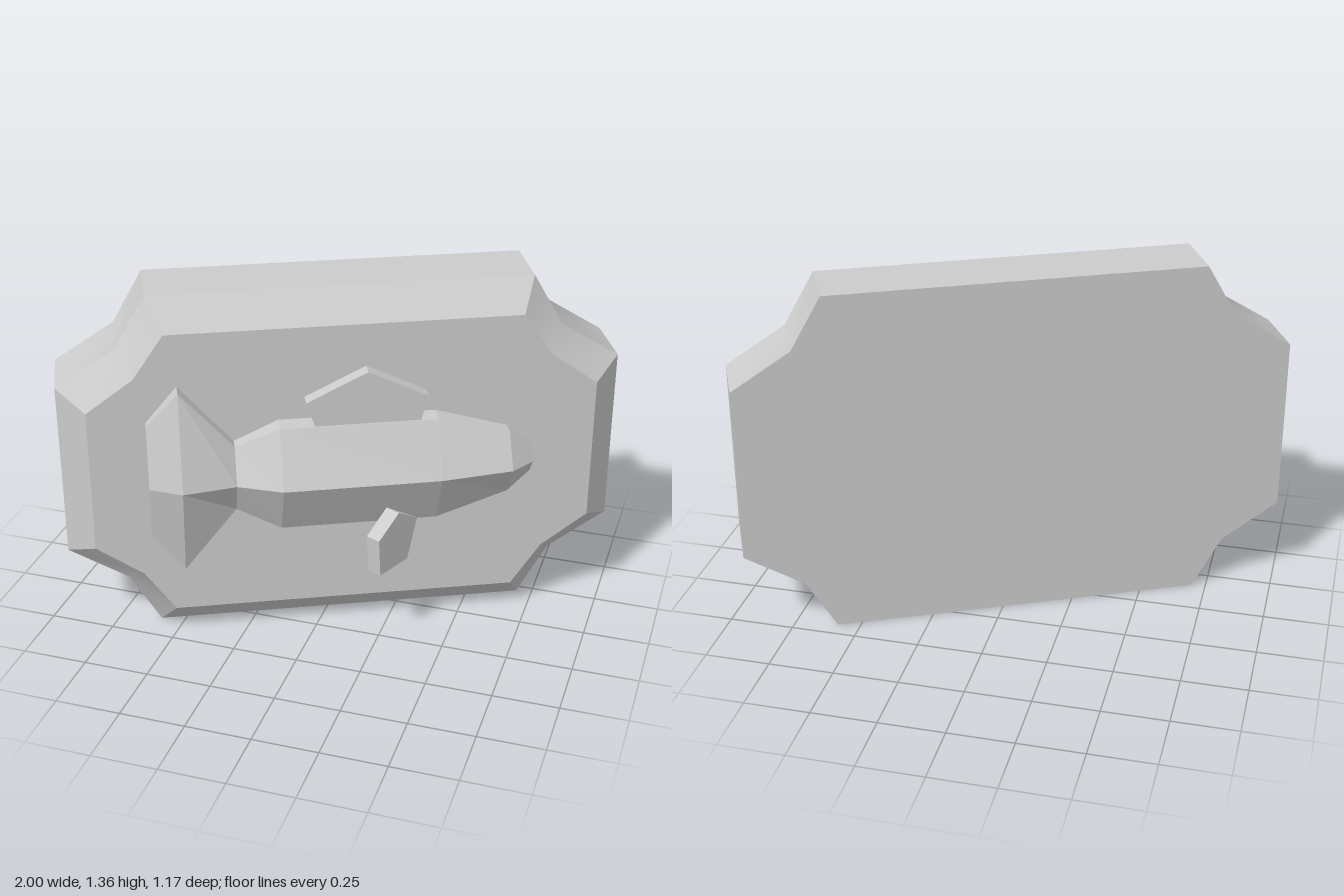
import * as THREE from 'three';
import { toCreasedNormals } from 'three/addons/utils/BufferGeometryUtils.js';

const material = new THREE.MeshStandardMaterial({ color: 0xcccccc });

// Skin a list of equal-sized rings and close both ends (non-indexed, so flat by default)
function loft(rings) {
  const pos = [];
  const tri = (...pts) => pts.forEach(p => pos.push(p.x, p.y, p.z));
  const centre = ring => ring.reduce((s, p) => s.add(p), new THREE.Vector3()).divideScalar(ring.length);
  const n = rings[0].length, last = rings[rings.length - 1];
  const c0 = centre(rings[0]), c1 = centre(last);
  for (let i = 0; i < n; i++) {
    const j = (i + 1) % n;
    for (let k = 0; k < rings.length - 1; k++) {
      const a = rings[k], b = rings[k + 1];
      tri(a[i], a[j], b[j]);
      tri(a[i], b[j], b[i]);
    }
    tri(c0, rings[0][j], rings[0][i]);
    tri(c1, last[i], last[j]);
  }
  const g = new THREE.BufferGeometry();
  g.setAttribute('position', new THREE.Float32BufferAttribute(pos, 3));
  g.computeVertexNormals();
  return g;
}

// Mirror one scooped corner into the full plaque outline, counter-clockwise
function plaqueRing(corner, z) {
  const ring = [];
  for (const [sx, sy] of [[1, 1], [-1, 1], [-1, -1], [1, -1]]) {
    const pts = sx * sy > 0 ? corner : [...corner].reverse();
    pts.forEach(([x, y]) => ring.push(new THREE.Vector3(sx * x, 0.68 + sy * y, z)));
  }
  return ring;
}

// Six-sided fish section with a ridge facing forward
function fishRing([x, depth, height, y = 0.685]) {
  return Array.from({ length: 6 }, (_, i) => {
    const a = Math.PI / 6 + i * Math.PI / 3;
    return new THREE.Vector3(x, y + height * Math.cos(a), 0.33 + depth * Math.sin(a));
  });
}

// Flat slab fin from an outline
function finGeometry(points, depth) {
  const shape = new THREE.Shape(points.map(p => new THREE.Vector2(...p)));
  return new THREE.ExtrudeGeometry(shape, { depth, bevelEnabled: false });
}

export function createModel() {
  const model = new THREE.Group();
  model.name = 'fishPlaque';

  // Everything sits in a frame turned about the vertical axis
  const turned = new THREE.Group();
  turned.name = 'turnedPlaque';
  turned.rotation.y = 0.4415;
  turned.position.set(-0.055, 0, -0.1375);
  model.add(turned);

  const add = (name, geometry) => {
    const mesh = new THREE.Mesh(geometry, material);
    mesh.name = name;
    turned.add(mesh);
    return mesh;
  };

  // Backing board with scooped corners and a chamfered front
  const outer = [[1.0455, 0.34], [0.823, 0.48], [0.708, 0.68]];
  const inner = [[0.94, 0.28], [0.765, 0.405], [0.652, 0.57]];
  add('backingBoard', toCreasedNormals(loft([
    plaqueRing(outer, 0), plaqueRing(outer, 0.246), plaqueRing(inner, 0.352),
  ]), 0.55));

  // Fish from tail to nose: x, depth radius, height radius, centre height
  add('fishBody', loft([
    [-0.73, 0.113, 0.26],
    [-0.612, 0.169, 0.42],
    [-0.414, 0.135, 0.15],
    [-0.251, 0.2, 0.237],
    [0.332, 0.195, 0.237],
    [0.604, 0.158, 0.143],
    [0.698, 0.078, 0.064, 0.675],
  ].map(fishRing)));

  // Dorsal fin, parallel to the board
  const dorsal = add('dorsalFin', finGeometry(
    [[-0.1, 0.82], [0.245, 0.82], [0.293, 0.985], [0.07, 1.095], [-0.155, 0.985]], 0.055));
  dorsal.position.z = 0.37;

  // Side fin, splayed outward below the body
  const sideFin = add('sideFin', finGeometry(
    [[0.01, 0.33], [0.163, 0.335], [0.215, 0.49], [0.11, 0.555], [0, 0.48]], 0.06));
  sideFin.rotation.y = 0.69;
  sideFin.position.set(0.052, 0, 0.534);

  return model;
}
